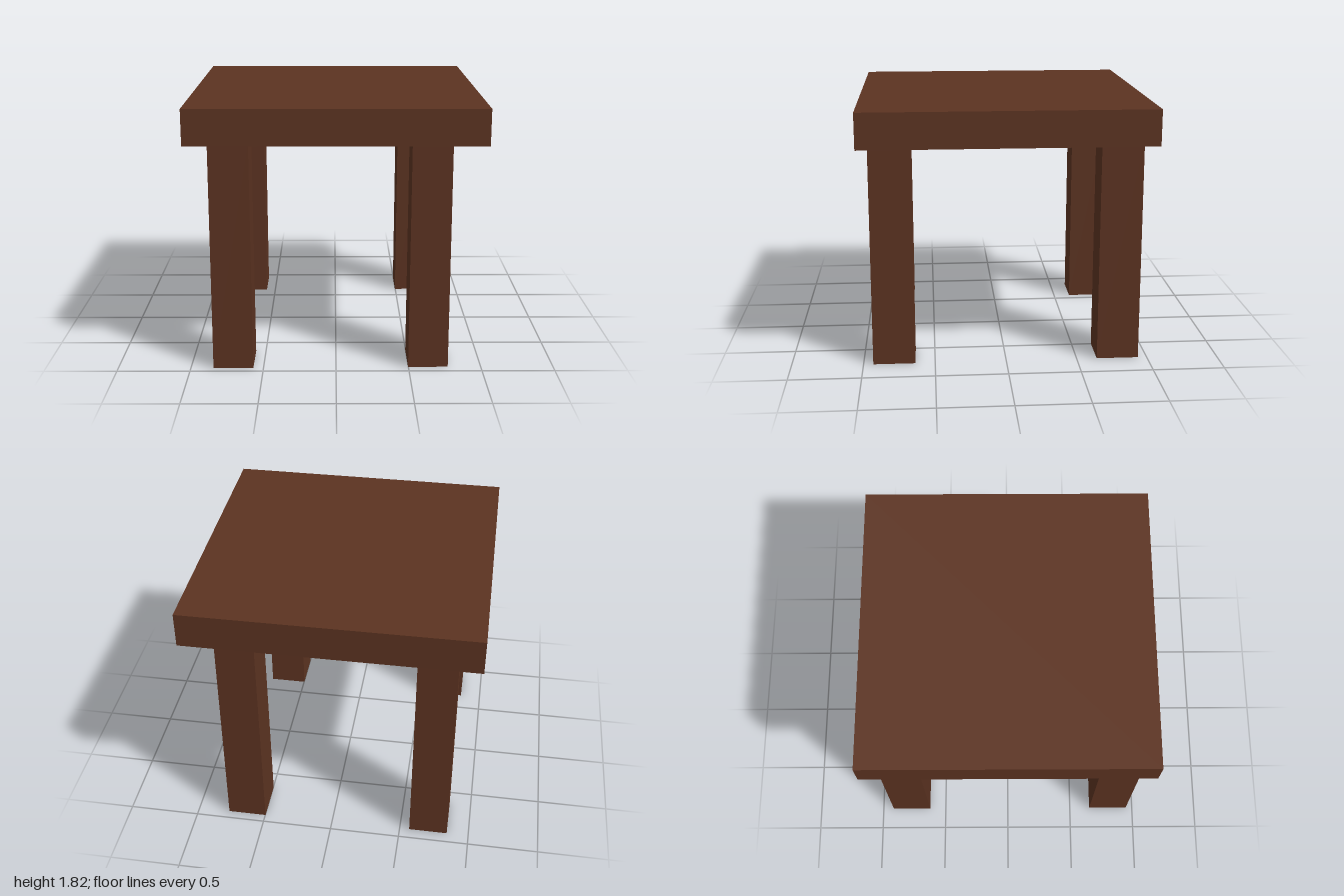
import * as THREE from 'three';

export function createModel() {
  const group = new THREE.Group();
  const wood = new THREE.MeshStandardMaterial({ color: 0x5c3321, flatShading: true, side: THREE.DoubleSide });
  const legHeight = 1.57;

  // Thick square slab
  const top = new THREE.Mesh(new THREE.BoxGeometry(2, 0.245, 1.99), wood);
  top.name = 'tableTop';
  top.position.y = legHeight + 0.1225;
  group.add(top);

  // Hollow square leg, open at the ends and very slightly wider at the foot
  const legGeometry = new THREE.CylinderGeometry(0.98 * Math.SQRT1_2, Math.SQRT1_2, legHeight, 4, 1, true);
  legGeometry.rotateY(Math.PI / 4);
  legGeometry.scale(0.274, 1, 0.294);
  legGeometry.translate(0, legHeight / 2, 0);

  // Legs stand a little unevenly under the slab
  const legs = [
    ['frontLeftLeg', 0.635, 0.785],
    ['frontRightLeg', -0.707, 0.803],
    ['backLeftLeg', 0.635, -0.79],
    ['backRightLeg', -0.707, -0.772],
  ];
  for (const [name, x, z] of legs) {
    const leg = new THREE.Mesh(legGeometry, wood);
    leg.name = name;
    leg.position.set(x, 0, z);
    group.add(leg);
  }
  return group;
}
